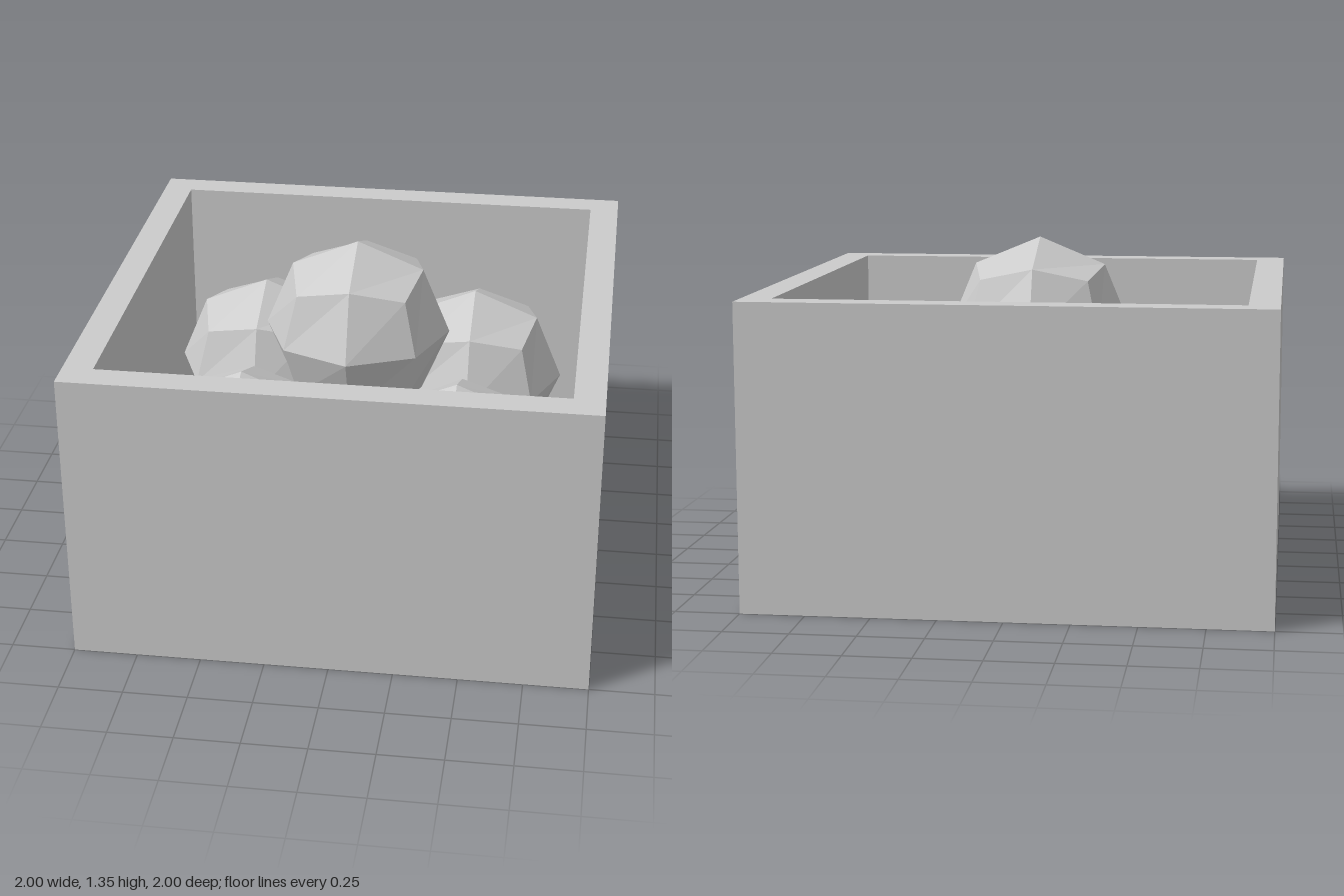
import * as THREE from 'three';

const material = new THREE.MeshStandardMaterial({ color: 0xcccccc, flatShading: true });

// Open square box: a four-sided lathe turned so its corners lie on the diagonals
function makeBox(half, height, wall, floor) {
  const outer = half * Math.SQRT2;
  const inner = (half - wall) * Math.SQRT2;
  const profile = [
    [0, 0], [outer, 0], [outer, height], [inner, height], [inner, floor], [0, floor],
  ].map(([r, y]) => new THREE.Vector2(r, y));
  const box = new THREE.Mesh(new THREE.LatheGeometry(profile, 4).rotateY(Math.PI / 4), material);
  box.name = 'openBox';
  return box;
}

// Low-poly ball: a cube with 2 x 2 faces per side, pushed out onto a sphere
function makeBallGeometry(radius) {
  const geometry = new THREE.BoxGeometry(1, 1, 1, 2, 2, 2);
  const position = geometry.attributes.position;
  const v = new THREE.Vector3();
  for (let i = 0; i < position.count; i++) {
    v.fromBufferAttribute(position, i).setLength(radius);
    position.setXYZ(i, v.x, v.y, v.z);
  }
  geometry.computeVertexNormals();
  return geometry;
}

export function createModel() {
  const model = new THREE.Group();
  model.name = 'boxOfBalls';
  model.add(makeBox(1, 1.18, 0.117, 0.22));

  // Four balls on the floor and one resting on top of them
  const ballGeometry = makeBallGeometry(0.373);
  const balls = [
    ['backRightBall', -0.47, 0.595, -0.44],
    ['backLeftBall', 0.425, 0.595, -0.44],
    ['frontRightBall', -0.42, 0.595, 0.425],
    ['frontLeftBall', 0.425, 0.595, 0.425],
    ['topBall', -0.02, 0.977, -0.025],
  ];
  for (const [name, x, y, z] of balls) {
    const ball = new THREE.Mesh(ballGeometry, material);
    ball.name = name;
    ball.position.set(x, y, z);
    model.add(ball);
  }
  return model;
}
